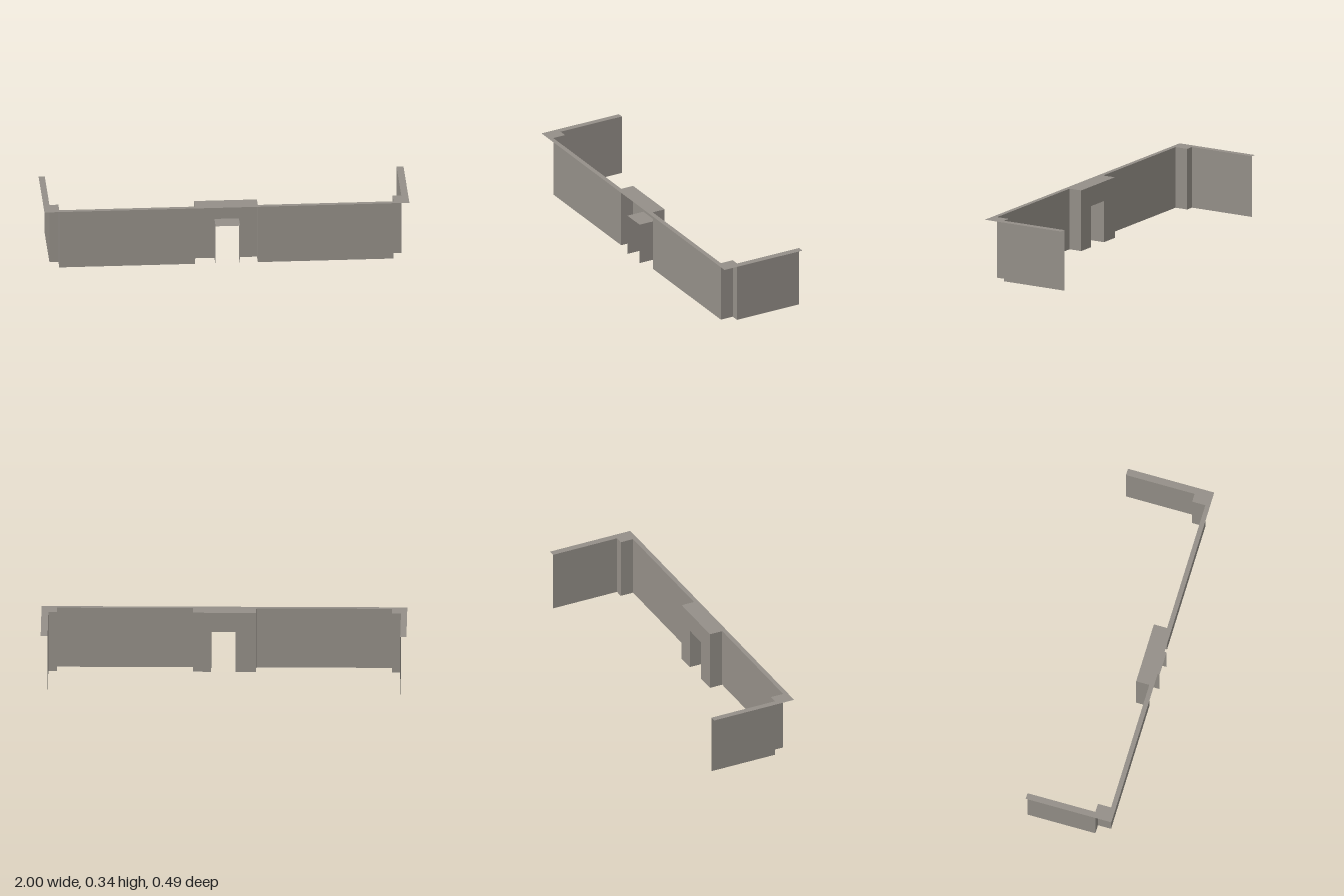
import * as THREE from 'three';

const H = 0.342, DOOR_H = 0.232;      // wall and doorway heights
const DOOR_L = -0.062, DOOR_R = 0.072; // doorway sides
const FRONT = 0.246;                   // outer front plane
const RECESS = 0.145;                  // plane of the door block and corner piers

// Plan of the wall sheet as [x, z], from one rear end round to the other
const plan = [
  [-0.966, -0.242], [-0.966, RECESS], [-0.917, RECESS], [-0.917, 0.22],
  [-0.174, 0.22], [-0.174, RECESS], [0.171, RECESS], [0.171, 0.22],
  [0.915, 0.22], [0.915, RECESS], [0.962, RECESS], [0.962, -0.246],
];
const DOOR_PANEL = 5; // plan segment holding the doorway

const toShape = (points) => new THREE.Shape(points.map(([x, y]) => new THREE.Vector2(x, y)));

export function createModel() {
  const group = new THREE.Group();
  const stone = new THREE.MeshStandardMaterial({ color: 0x948f88, side: THREE.DoubleSide });
  stone.name = 'warm grey stone';

  const add = (name, geometry) => {
    const mesh = new THREE.Mesh(geometry, stone);
    mesh.name = name;
    group.add(mesh);
    return mesh;
  };

  // Upright sheet between two plan points
  const addPanel = (name, [x0, z0], [x1, z1], height) => {
    const panel = add(name, new THREE.PlaneGeometry(Math.hypot(x1 - x0, z1 - z0), height));
    panel.position.set((x0 + x1) / 2, height / 2, (z0 + z1) / 2);
    panel.rotation.y = -Math.atan2(z1 - z0, x1 - x0);
  };

  // Wall panels, with a notch cut for the doorway
  for (let i = 0; i < plan.length - 1; i++) {
    const a = plan[i], b = plan[i + 1];
    if (i !== DOOR_PANEL) {
      addPanel('wallPanel', a, b, H);
      continue;
    }
    const outline = toShape([
      [a[0], 0], [DOOR_L, 0], [DOOR_L, DOOR_H], [DOOR_R, DOOR_H],
      [DOOR_R, 0], [b[0], 0], [b[0], H], [a[0], H],
    ]);
    add('doorwayWall', new THREE.ShapeGeometry(outline)).position.z = RECESS;
  }

  // Doorway jambs and ceiling, reaching out to the front plane
  for (const x of [DOOR_L, DOOR_R]) addPanel('doorJamb', [x, RECESS], [x, FRONT], DOOR_H);
  const lintel = add('doorCeiling', new THREE.PlaneGeometry(DOOR_R - DOOR_L, FRONT - RECESS));
  lintel.rotation.x = -Math.PI / 2;
  lintel.position.set((DOOR_L + DOOR_R) / 2, DOOR_H, (RECESS + FRONT) / 2);

  // Flat coping from the wall line out to the outer edge
  const cap = [...plan, [1, -0.246], [1, FRONT], [-1, FRONT], [-1, -0.242]];
  const coping = add('wallCoping', new THREE.ShapeGeometry(toShape(cap.map(([x, z]) => [x, -z]))));
  coping.rotation.x = -Math.PI / 2;
  coping.position.y = H;

  return group;
}
